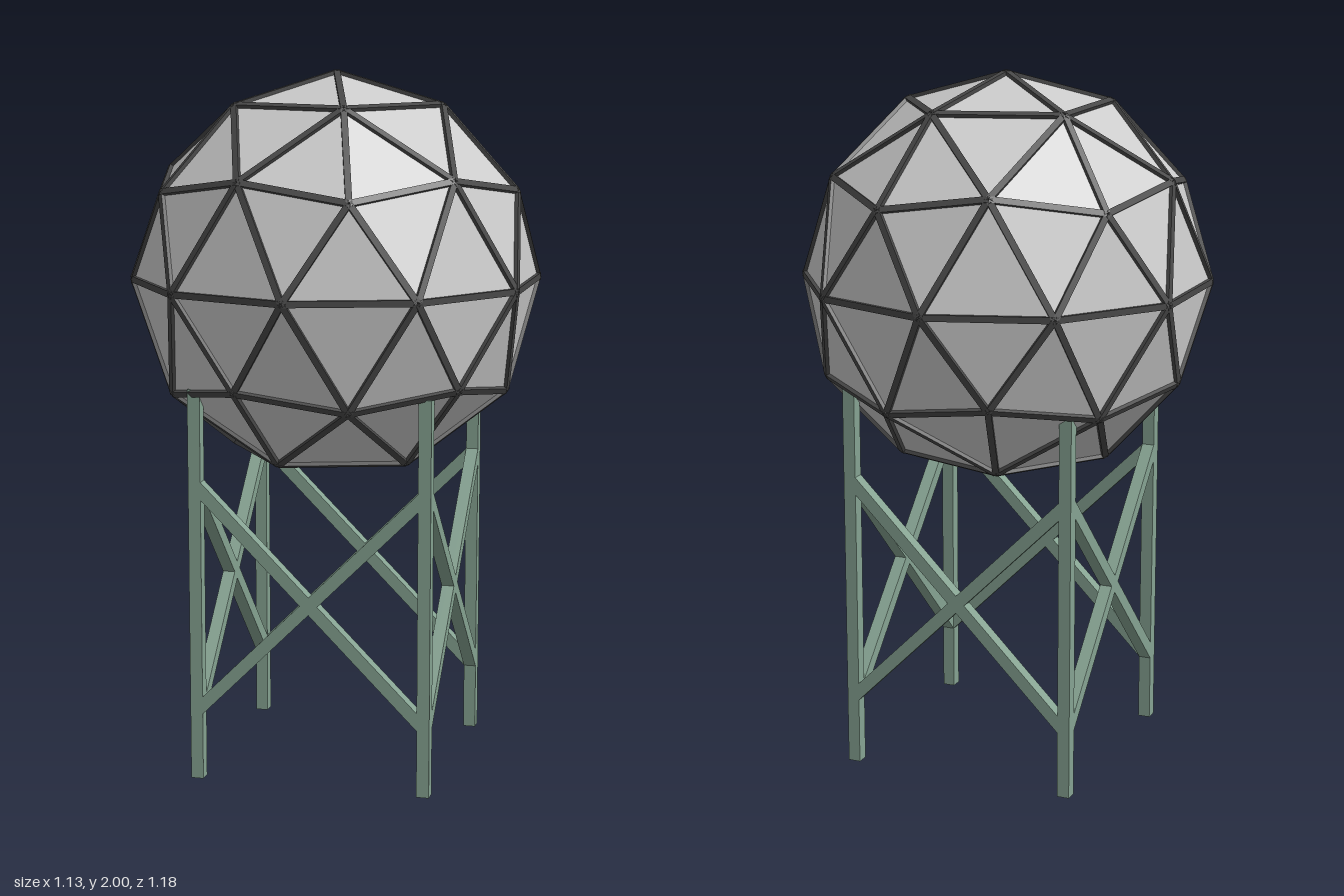
import * as THREE from 'three';

const R = 0.58, CENTRE_Y = 1.411, STRUT = 0.018;
const LEG = 0.036, LEG_TOP = 1.13, HALF = 0.33, SHIFT = 0.01;

// Square bar from a to b, with one side turned towards "out"
function bar(name, a, b, size, out, material) {
  const dir = b.clone().sub(a);
  const mesh = new THREE.Mesh(new THREE.BoxGeometry(size, dir.length(), size), material);
  const y = dir.clone().normalize();
  const x = new THREE.Vector3().crossVectors(y, out).normalize();
  const z = new THREE.Vector3().crossVectors(x, y);
  mesh.quaternion.setFromRotationMatrix(new THREE.Matrix4().makeBasis(x, y, z));
  mesh.position.copy(a).add(b).multiplyScalar(0.5);
  mesh.name = name;
  return mesh;
}

export function createModel() {
  const model = new THREE.Group();
  model.name = 'geodesicTower';
  const panelMat = new THREE.MeshStandardMaterial({ color: 0xcccccc, flatShading: true, side: THREE.DoubleSide });
  const strutMat = new THREE.MeshStandardMaterial({ color: 0x484848 });
  const legMat = new THREE.MeshStandardMaterial({ color: 0x86a392 });

  // Geodesic globe with a vertex at the top and the bottom cap left open
  const globe = new THREE.Group();
  globe.name = 'globe';
  globe.position.y = CENTRE_Y;
  const ball = new THREE.IcosahedronGeometry(R, 1);
  ball.rotateZ(-Math.atan(2 / (1 + Math.sqrt(5))));
  const source = ball.getAttribute('position');
  const kept = [];
  const edges = new Map();
  const key = (v) => v.toArray().map((n) => Math.round(n * 1000) + 0).join();
  for (let i = 0; i < source.count; i += 3) {
    const tri = [0, 1, 2].map((k) => new THREE.Vector3().fromBufferAttribute(source, i + k));
    if (tri.some((v) => v.y < -0.98 * R)) continue;
    tri.forEach((v, k) => {
      const w = tri[(k + 1) % 3];
      kept.push(v);
      edges.set([key(v), key(w)].sort().join('|'), [v, w]);
    });
  }
  const panels = new THREE.Mesh(new THREE.BufferGeometry().setFromPoints(kept), panelMat);
  panels.geometry.computeVertexNormals();
  panels.name = 'panels';
  globe.add(panels);

  // One strut along every panel edge
  const struts = new THREE.Group();
  struts.name = 'struts';
  for (const [a, b] of edges.values()) {
    struts.add(bar('strut', a, b, STRUT, a.clone().add(b), strutMat));
  }
  globe.add(struts);
  model.add(globe);

  // Four legs with crossed braces on each side
  const stand = new THREE.Group();
  stand.name = 'stand';
  stand.position.set(SHIFT, 0, SHIFT);
  const corners = [[1, 1], [-1, 1], [-1, -1], [1, -1]];
  const at = ([x, z], y) => new THREE.Vector3(x * HALF, y, z * HALF);
  corners.forEach((c, i) => {
    const next = corners[(i + 1) % 4];
    const out = new THREE.Vector3(c[0] + next[0], 0, c[1] + next[1]);
    stand.add(
      bar('leg', at(c, 0), at(c, LEG_TOP), LEG, out, legMat),
      bar('brace', at(c, 0.2), at(next, 0.86), LEG, out, legMat),
      bar('brace', at(c, 0.86), at(next, 0.2), LEG, out, legMat)
    );
  });
  model.add(stand);
  return model;
}
